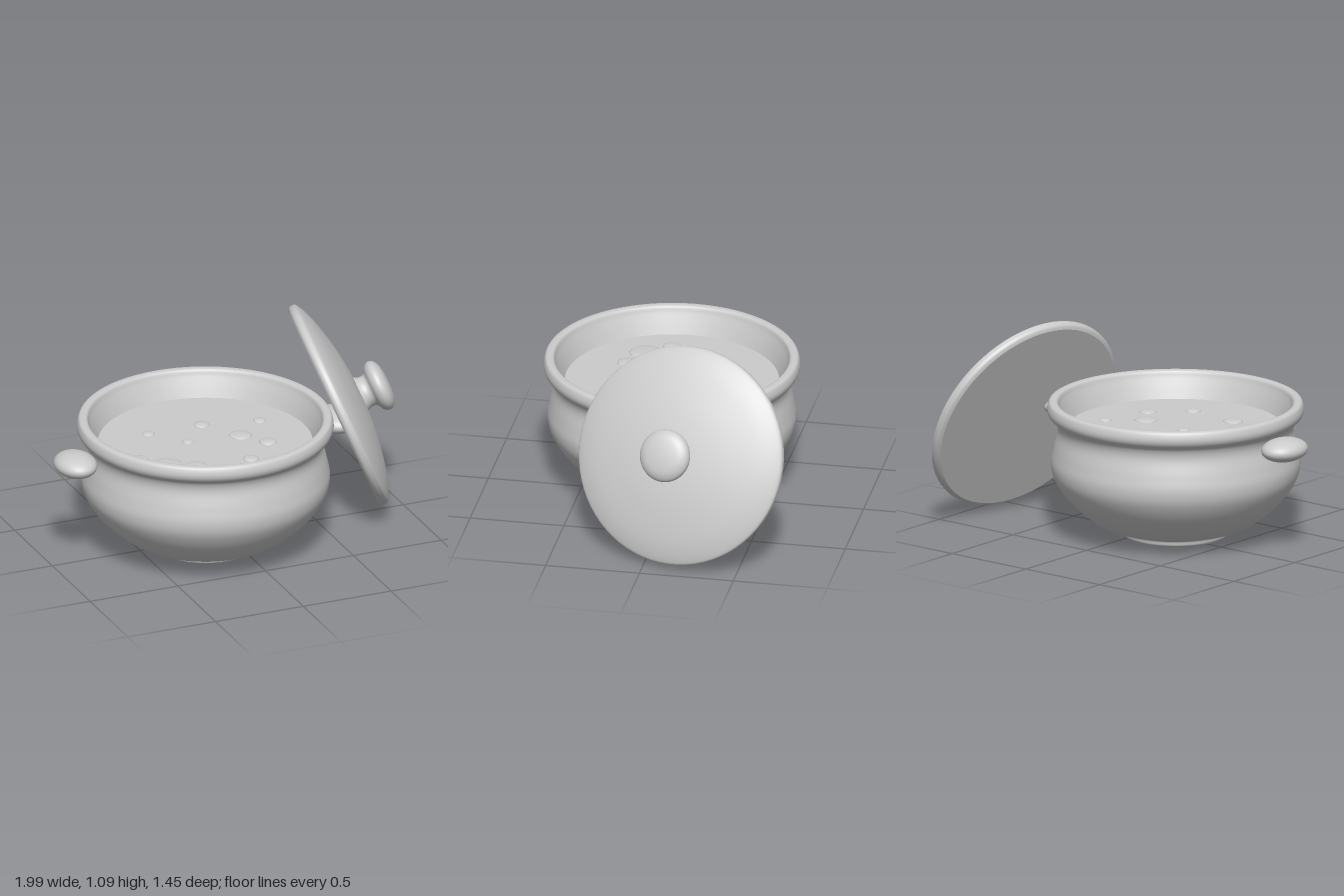
import * as THREE from 'three';

const material = new THREE.MeshStandardMaterial({ color: 0xcccccc });

function addMesh(parent, name, geometry, x = 0, y = 0, z = 0) {
  const mesh = new THREE.Mesh(geometry, material);
  mesh.name = name;
  mesh.position.set(x, y, z);
  parent.add(mesh);
  return mesh;
}

// Smooth turned surface through [radius, height] points, listed bottom to top on the outside
function turned(points, steps = 48) {
  const curve = new THREE.SplineCurve(points.map(([r, y]) => new THREE.Vector2(r, y)));
  const profile = curve.getPoints(steps);
  profile.forEach((p) => { p.x = Math.max(p.x, 0); });
  return new THREE.LatheGeometry(profile, 72);
}

// Flat disc facing up (1) or down (-1)
function disc(radius, facing) {
  return new THREE.CircleGeometry(radius, 72).rotateX(-facing * Math.PI / 2);
}

function createPot() {
  const pot = new THREE.Group();
  pot.name = 'pot';
  pot.position.set(-0.15, 0, 0.05);

  // Foot ring and its flat underside
  addMesh(pot, 'foot', turned([[0.262, 0], [0.275, 0.01], [0.28, 0.03], [0.29, 0.038]], 12));
  addMesh(pot, 'footBase', disc(0.262, -1));

  // Belly, neck, rolled rim and inner wall down below the soup
  addMesh(pot, 'body', turned([
    [0.28, 0.035], [0.41, 0.077], [0.55, 0.19], [0.63, 0.3], [0.653, 0.385],
    [0.64, 0.47], [0.618, 0.56], [0.628, 0.615], [0.662, 0.648], [0.673, 0.68],
    [0.664, 0.716], [0.645, 0.725], [0.62, 0.72], [0.607, 0.69],
    [0.585, 0.64], [0.56, 0.58], [0.545, 0.54],
  ], 96));

  // Side handles
  for (const side of [-1, 1]) {
    const handle = addMesh(pot, side < 0 ? 'rightHandle' : 'leftHandle',
      new THREE.SphereGeometry(1, 32, 24), side * 0.74, 0.583, 0);
    handle.scale.set(0.11, 0.062, 0.14);
  }

  // Soup surface with flat bubbles: x, z, radius
  const level = 0.585;
  addMesh(pot, 'soup', disc(0.563, 1), 0, level, 0);
  const bubbles = [
    [-0.237, -0.205, 0.034], [0.065, -0.202, 0.042], [0.367, -0.135, 0.034],
    [-0.083, -0.034, 0.032], [0.2, 0, 0.06], [-0.408, 0.08, 0.047],
    [-0.306, 0.2, 0.085], [-0.168, 0.27, 0.053], [0.3, 0.135, 0.047],
    [0.13, 0.302, 0.042],
  ];
  bubbles.forEach(([x, z, r], i) => {
    const bubble = addMesh(pot, `bubble${i + 1}`,
      new THREE.SphereGeometry(r, 24, 8, 0, Math.PI * 2, 0, Math.PI / 2), x, level, z);
    bubble.scale.y = Math.min(0.3, 0.012 / r);
  });
  return pot;
}

function createLid() {
  const lid = new THREE.Group();
  lid.name = 'lid';

  // Domed lid with a rounded edge and flat underside
  addMesh(lid, 'lidDome', turned([
    [0.55, -0.03], [0.568, -0.018], [0.574, 0.003], [0.56, 0.028], [0.46, 0.07],
    [0.3, 0.108], [0.15, 0.128], [0, 0.135],
  ], 56));
  addMesh(lid, 'lidUnderside', disc(0.55, -1), 0, -0.03, 0);

  // Mushroom knob
  addMesh(lid, 'knob', turned([
    [0.1, 0.125], [0.085, 0.155], [0.09, 0.185], [0.122, 0.205], [0.138, 0.23],
    [0.132, 0.257], [0.1, 0.279], [0.05, 0.289], [0, 0.292],
  ], 56));

  // Lean the lid against the side of the pot
  const axis = new THREE.Vector3(0.897, 0.39, 0.2).normalize();
  lid.quaternion.setFromUnitVectors(new THREE.Vector3(0, 1, 0), axis);
  lid.position.set(0.7, 0.557, -0.167);
  return lid;
}

export function createModel() {
  const model = new THREE.Group();
  model.name = 'soupPot';
  model.add(createPot(), createLid());
  return model;
}
